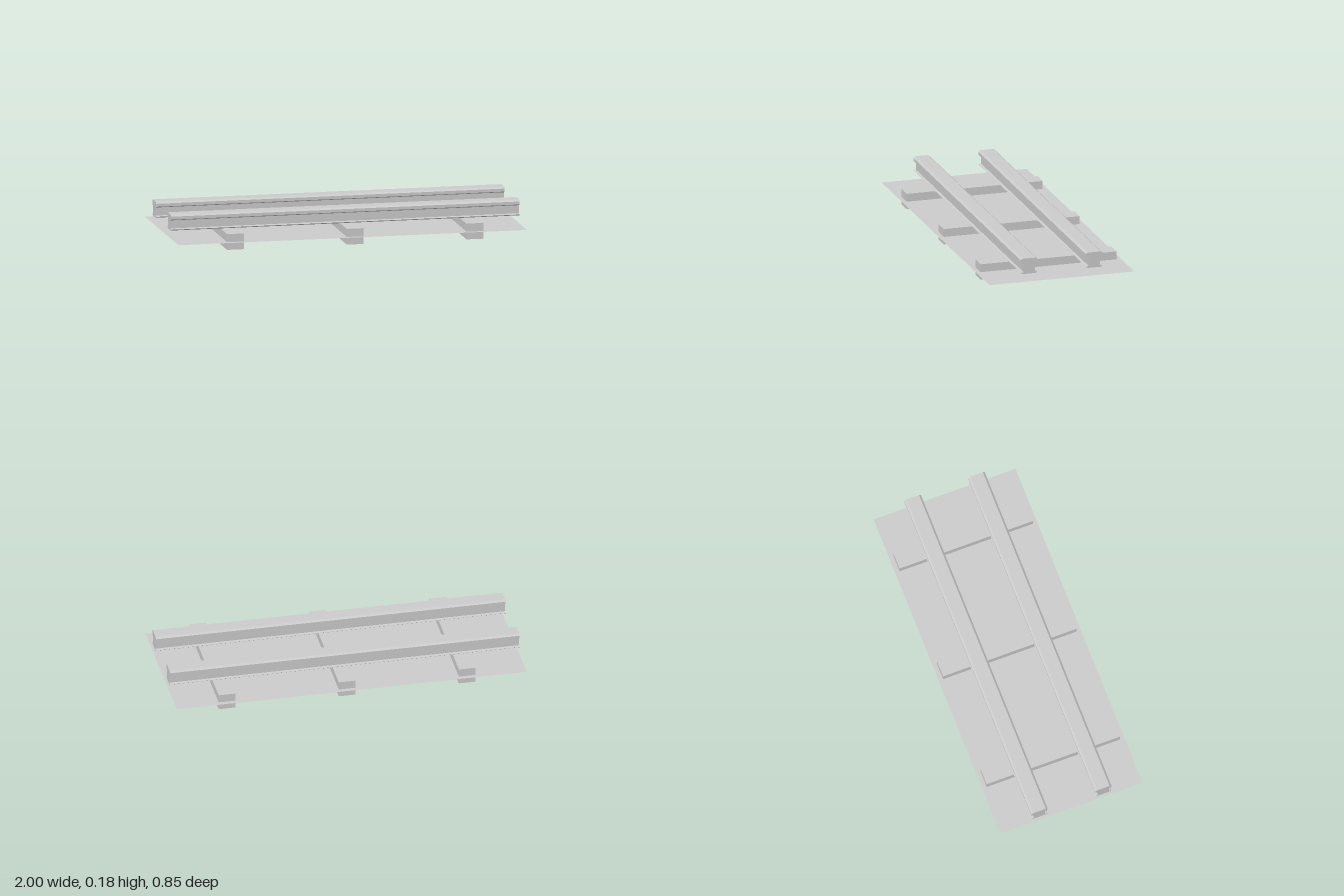
import * as THREE from 'three';

export function createModel() {
  const group = new THREE.Group();
  const material = new THREE.MeshStandardMaterial({ color: 0xcccccc, flatShading: true });
  const add = (name, geometry, mat = material) => {
    const mesh = new THREE.Mesh(geometry, mat);
    mesh.name = name;
    group.add(mesh);
    return mesh;
  };

  // Thin ground sheet, cutting through the sleepers at half height
  const sheetMaterial = material.clone();
  sheetMaterial.side = THREE.DoubleSide;
  const bed = add('trackBed', new THREE.PlaneGeometry(2, 0.85).rotateX(-Math.PI / 2), sheetMaterial);
  bed.position.y = 0.044;

  // Sleepers
  for (const x of [-0.667, 0.02, 0.707]) {
    add('sleeper', new THREE.BoxGeometry(0.096, 0.09, 0.798)).position.set(x, 0.045, 0);
  }

  // Rail half profile (half width, height), mirrored and extruded along x
  const half = [
    [0.038, 0.09], [0.047, 0.096], [0.045, 0.099], [0.033, 0.101],
    [0.033, 0.147], [0.049, 0.154], [0.049, 0.171], [0.038, 0.18],
  ];
  const outline = [...half, ...half.map(([w, y]) => [-w, y]).reverse()];
  const shape = new THREE.Shape(outline.map(([w, y]) => new THREE.Vector2(w, y)));
  const railGeometry = new THREE.ExtrudeGeometry(shape, { depth: 2, bevelEnabled: false })
    .translate(0, 0, -1)
    .rotateY(Math.PI / 2);
  for (const [name, z] of [['frontRail', 0.191], ['backRail', -0.191]]) {
    add(name, railGeometry).position.z = z;
  }

  return group;
}
